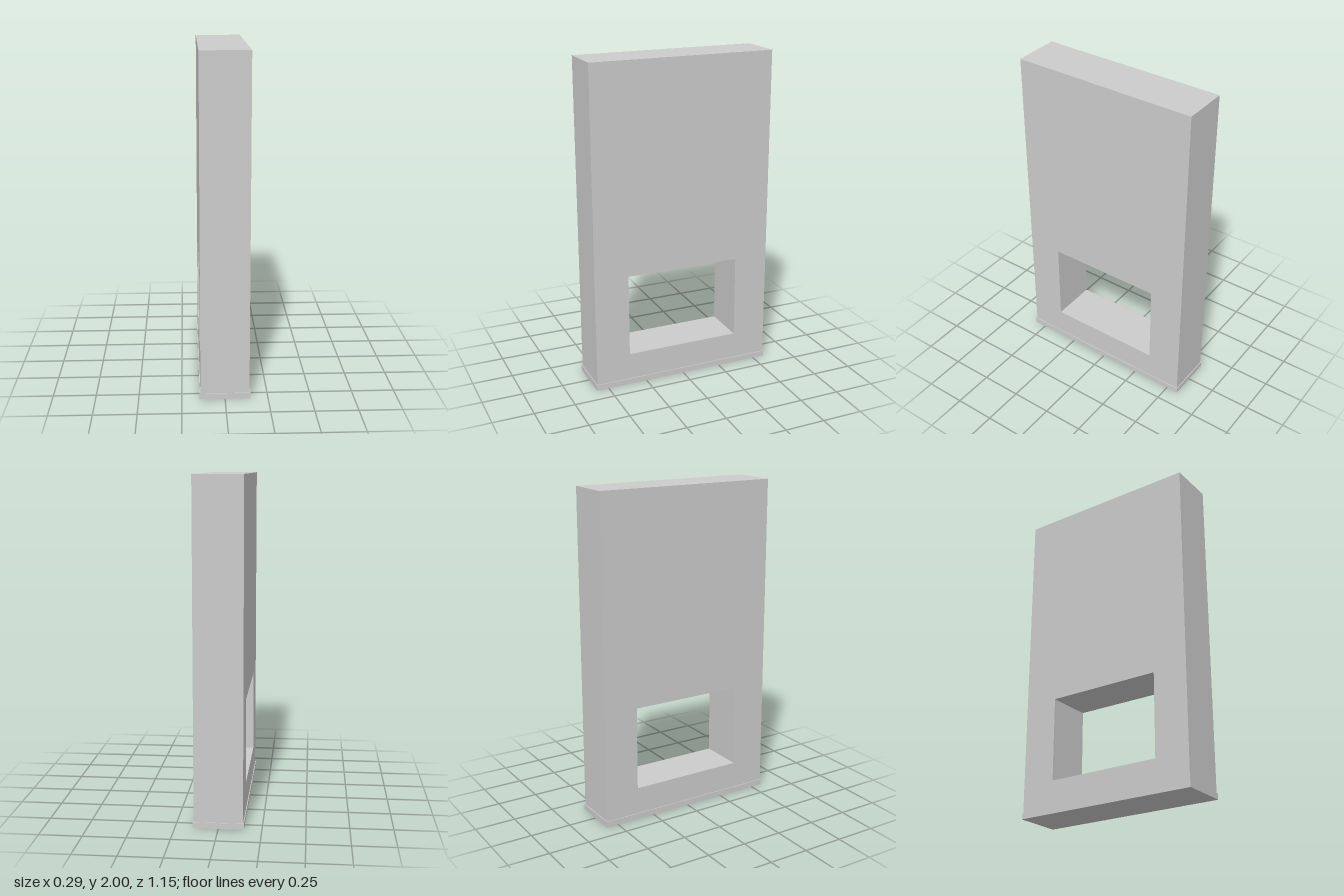
import * as THREE from 'three';

const PLINTH = { width: 0.294, height: 0.035, depth: 1.152 };
const SLAB = { width: 0.284, top: 2, depth: 1.142 };
const OPENING = { bottom: 0.2, top: 0.712, depth: 0.714 };

// Rectangle centred on x = 0, between two heights
function rectangle(PathType, width, bottom, top) {
  const h = width / 2;
  const path = new PathType();
  path.moveTo(-h, bottom);
  path.lineTo(h, bottom);
  path.lineTo(h, top);
  path.lineTo(-h, top);
  path.closePath();
  return path;
}

export function createModel() {
  const group = new THREE.Group();
  group.name = 'slabWithOpening';
  const material = new THREE.MeshStandardMaterial({ color: 0xcccccc, flatShading: true });

  // Upright slab, pierced from side to side by a rectangular opening
  const outline = rectangle(THREE.Shape, SLAB.depth, PLINTH.height, SLAB.top);
  outline.holes.push(rectangle(THREE.Path, OPENING.depth, OPENING.bottom, OPENING.top));
  const slabGeometry = new THREE.ExtrudeGeometry(outline, { depth: SLAB.width, bevelEnabled: false });
  slabGeometry.translate(0, 0, -SLAB.width / 2);
  slabGeometry.rotateY(Math.PI / 2);
  const slab = new THREE.Mesh(slabGeometry, material);
  slab.name = 'slab';
  group.add(slab);

  // Slightly wider plinth under the slab
  const plinth = new THREE.Mesh(
    new THREE.BoxGeometry(PLINTH.width, PLINTH.height, PLINTH.depth),
    material
  );
  plinth.name = 'plinth';
  plinth.position.y = PLINTH.height / 2;
  group.add(plinth);

  return group;
}
